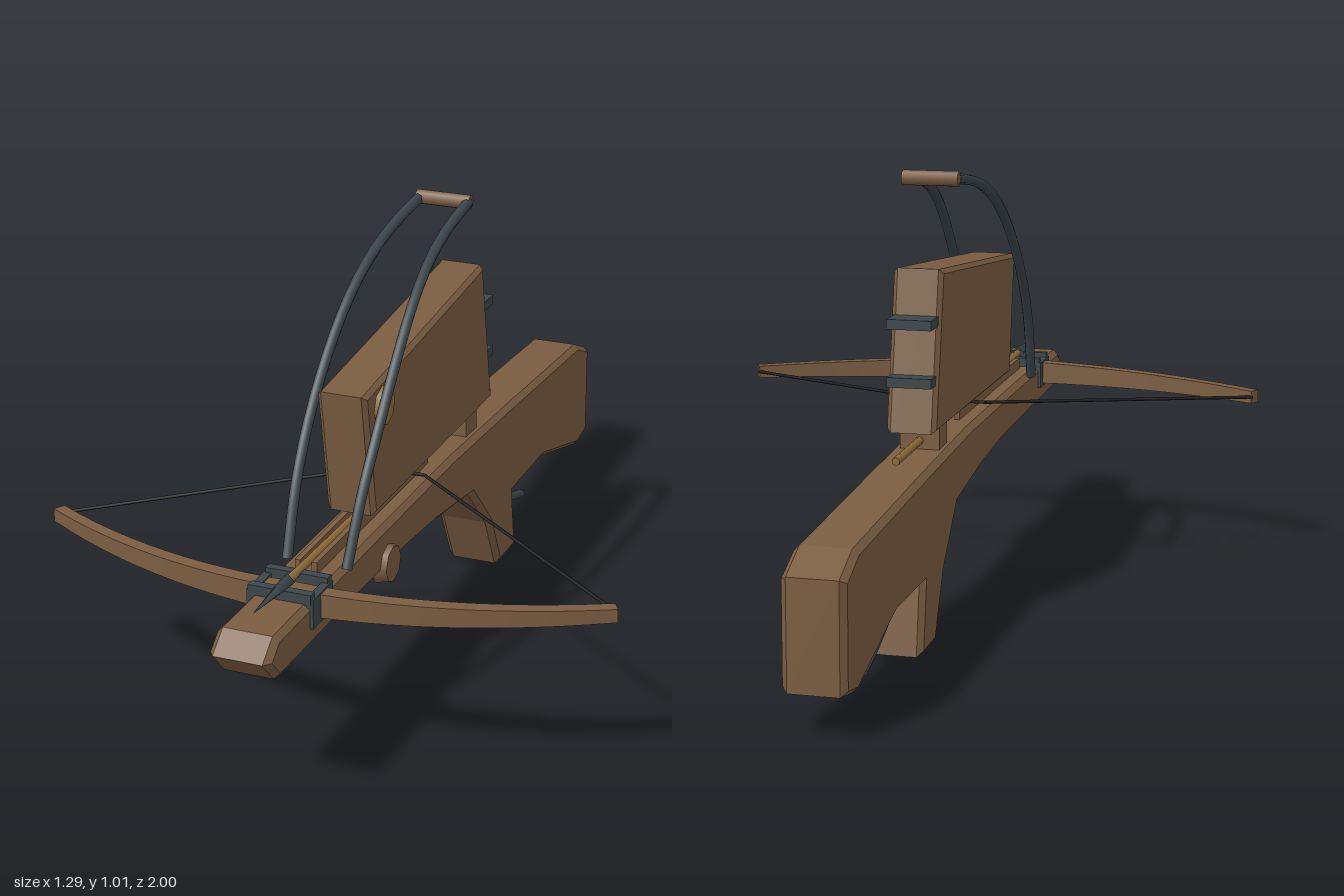
import * as THREE from 'three';

const mat = (name, color) => Object.assign(new THREE.MeshStandardMaterial({ color }), { name });

export function createModel() {
  const wood = mat('walnut wood', 0x7a5d42);
  const metal = mat('dark iron', 0x3c464a);
  const gold = mat('pale bolt wood', 0x8f6c38);
  const cord = mat('black cord', 0x1f1f1f);
  const model = new THREE.Group();

  const add = (name, geo, material, x = 0, y = 0, z = 0) => {
    const m = new THREE.Mesh(geo, material);
    m.name = name;
    m.position.set(x, y, z);
    model.add(m);
    return m;
  };
  const box = (name, material, w, h, d, x, y, z) =>
    add(name, new THREE.BoxGeometry(w, h, d), material, x, y, z);

  // Side profile of [z, y] points, extruded across x with chamfered edges
  const slab = (name, pts, halfWidth, bevel) => {
    const shape = new THREE.Shape(pts.map(([z, y]) => new THREE.Vector2(-z, y)));
    const geo = new THREE.ExtrudeGeometry(shape, {
      depth: 2 * (halfWidth - bevel), bevelEnabled: true, bevelSegments: 1,
      bevelSize: bevel, bevelThickness: bevel, bevelOffset: -bevel,
    });
    geo.translate(0, 0, -(halfWidth - bevel));
    geo.rotateY(Math.PI / 2);
    return add(name, geo, wood);
  };

  // Straight round rod between two points
  const rod = (name, material, a, b, r0, r1 = r0, sides = 8) => {
    const p = new THREE.Vector3(...a), q = new THREE.Vector3(...b);
    const dir = q.clone().sub(p);
    const m = add(name, new THREE.CylinderGeometry(r1, r0, dir.length(), sides), material);
    m.position.copy(p).add(q).multiplyScalar(0.5);
    m.quaternion.setFromUnitVectors(new THREE.Vector3(0, 1, 0), dir.normalize());
    return m;
  };
  const tube = (name, pts, r) => add(name, new THREE.TubeGeometry(
    new THREE.CatmullRomCurve3(pts.map(p => new THREE.Vector3(...p))), 20, r, 8), metal);

  // Stock with grip and butt
  slab('stock', [
    [1, 0.385], [0.95, 0.33], [0.6, 0.325], [0.3, 0.318], [0.1, 0.302], [-0.13, 0.27],
    [-0.25, 0.145], [-0.32, 0.003], [-0.44, 0.003], [-0.415, 0.16], [-0.64, 0.16],
    [-0.92, 0.08], [-1, 0.095], [-1, 0.33], [-0.91, 0.37], [-0.4, 0.4], [0, 0.42],
    [0.5, 0.425], [0.95, 0.425],
  ], 0.067, 0.013);

  // Magazine with rear pegs
  slab('magazine', [[0.48, 0.75], [0.435, 0.46], [-0.285, 0.46], [-0.22, 0.815]], 0.056, 0.01);
  box('upperPeg', metal, 0.1, 0.022, 0.08, 0, 0.703, -0.26);
  box('lowerPeg', metal, 0.1, 0.022, 0.06, 0, 0.575, -0.27);

  // Pivot knobs on the left face
  rod('magazineKnob', gold, [0.04, 0.7, 0.39], [0.068, 0.7, 0.39], 0.05, 0.042);
  rod('stockKnob', wood, [0.05, 0.332, 0.39], [0.08, 0.332, 0.39], 0.05, 0.042);

  // Bow: tapered rectangular section swept along a curve
  const limb = new THREE.BoxGeometry(1.28, 1, 1, 24, 1, 1);
  const pos = limb.attributes.position;
  for (let i = 0; i < pos.count; i++) {
    const x = pos.getX(i), t = Math.abs(x) / 0.64;
    const slope = 0.36 * t / 0.64 * Math.sign(x);
    const off = pos.getZ(i) * (0.036 - 0.012 * t);
    pos.setXYZ(i, x + off * slope, 0.405 + pos.getY(i) * (0.056 - 0.026 * t),
      0.747 - 0.18 * t * t + off);
  }
  limb.computeVertexNormals();
  add('bowLimb', limb, wood);

  // Bowstring
  for (const s of [-1, 1]) {
    rod('stringHalf', cord, [s * 0.635, 0.405, 0.56], [s * 0.06, 0.443, 0.16], 0.004, 0.004, 6);
  }
  rod('stringMiddle', cord, [-0.06, 0.443, 0.16], [0.06, 0.443, 0.16], 0.004, 0.004, 6);

  // Iron bracket holding the bow
  for (const s of [-1, 1]) {
    box('bracketSide', metal, 0.018, 0.065, 0.1, s * 0.065, 0.403, 0.75);
    box('bracketBar', metal, 0.14, 0.024, 0.02, 0, 0.435, 0.75 + s * 0.042);
  }

  // Guide rails, nut and loaded bolt
  for (const s of [-1, 1]) box('guideRail', wood, 0.012, 0.03, 0.62, s * 0.019, 0.437, 0.36);
  box('nut', wood, 0.09, 0.055, 0.07, 0, 0.432, -0.175);
  rod('boltShaft', gold, [0, 0.425, -0.405], [0, 0.448, 0.78], 0.009);
  rod('boltHead', metal, [0, 0.448, 0.76], [0, 0.452, 0.92], 0.017, 0.001, 4);

  // Cocking lever arms and handle
  for (const s of [-1, 1]) {
    tube('leverArm', [
      [s * 0.068, 0.42, 0.615], [s * 0.075, 0.56, 0.55], [s * 0.079, 0.67, 0.475],
      [s * 0.078, 0.79, 0.37], [s * 0.073, 0.885, 0.26], [s * 0.067, 0.945, 0.15],
      [s * 0.062, 0.98, 0.03], [s * 0.058, 1, -0.11],
    ], 0.012);
  }
  rod('leverHandle', wood, [-0.064, 1, -0.11], [0.064, 1, -0.11], 0.017);

  // Trigger lever behind the grip
  tube('trigger', [[0, 0.14, -0.4], [0, 0.095, -0.5], [0, 0.06, -0.59], [0, 0.038, -0.66]], 0.011);
  rod('triggerEnd', metal, [0, 0.039, -0.657], [0, 0.037, -0.663], 0.011);

  return model;
}
